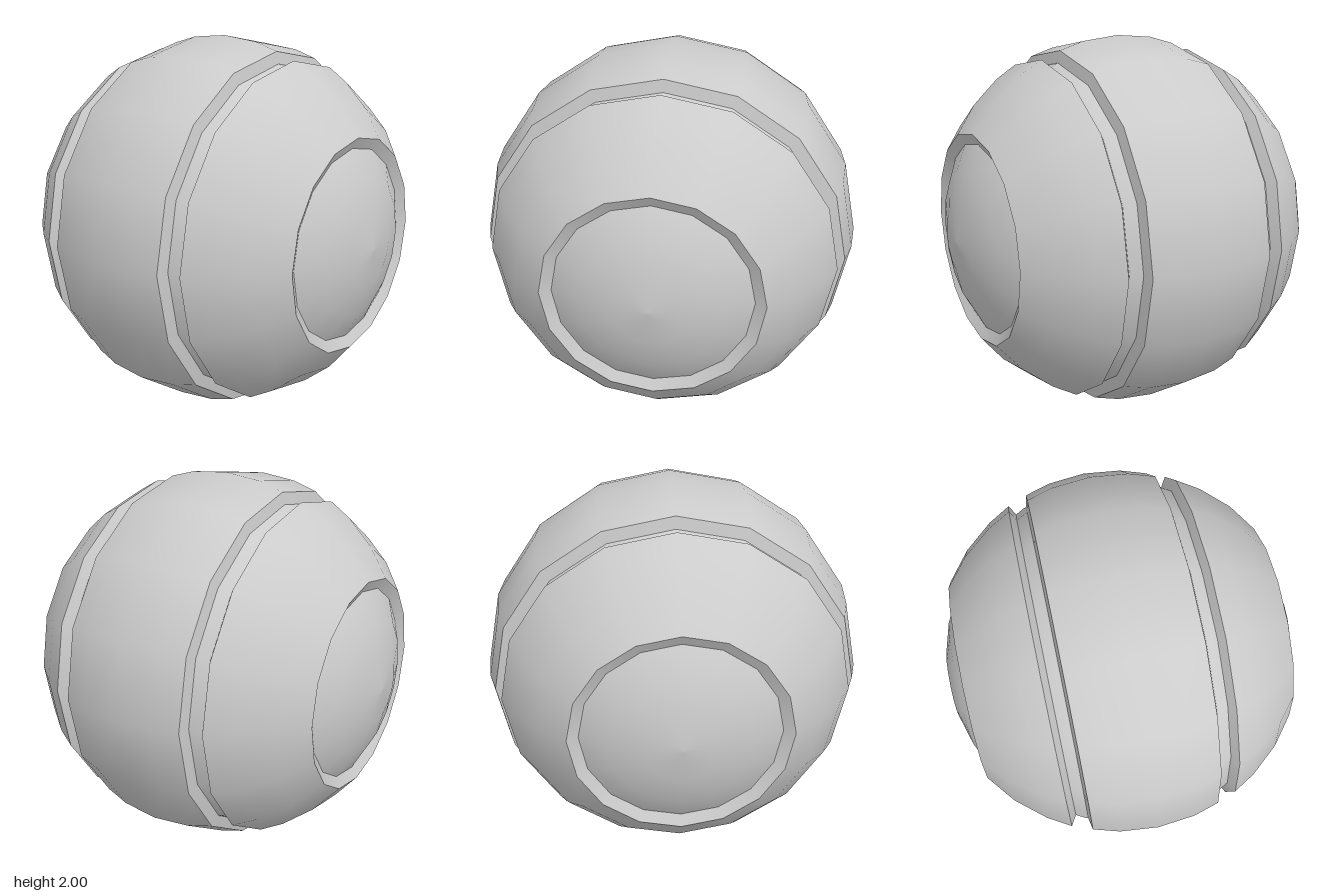
import * as THREE from 'three';
import { mergeGeometries } from 'three/addons/utils/BufferGeometryUtils.js';

const SIDES = 16;
const material = new THREE.MeshStandardMaterial({ color: 0xcccccc });

// Turn a profile of [x, radius] points, ordered by rising x, around the x axis.
function turn(profile) {
  const points = profile.map(([x, r]) => new THREE.Vector2(r, x));
  return new THREE.LatheGeometry(points, SIDES).rotateZ(-Math.PI / 2);
}

// Points on a circle of the given radius, between two angles from the +x pole.
function arc(radius, from, to, steps) {
  return Array.from({ length: steps + 1 }, (_, i) => {
    const a = from + ((to - from) * i) / steps;
    return [radius * Math.cos(a), Math.max(0, radius * Math.sin(a))];
  });
}

// Sections are turned separately so that the edges between them stay sharp.
function addPart(group, name, sections) {
  const mesh = new THREE.Mesh(mergeGeometries(sections.map(turn)), material);
  mesh.name = name;
  group.add(mesh);
}

const mirror = (profile) => profile.map(([x, r]) => [-x, r]).reverse();

export function createModel() {
  const model = new THREE.Group();
  model.name = 'bandedSphere';
  const ball = new THREE.Group();
  ball.name = 'ball';
  ball.position.y = 1;
  model.add(ball);

  // Inner ball, seen in the grooves and at both ends
  addPart(ball, 'innerBall', [arc(0.945, Math.PI, 0, 16)]);

  // Raised band around the middle with its two walls
  const bandWall = [[0.336, 0.94], [0.352, 0.86]];
  addPart(ball, 'middleBand', [
    mirror(bandWall),
    [[-0.336, 0.94], [-0.2, 0.98], [0, 1], [0.2, 0.98], [0.336, 0.94]],
    bandWall,
  ]);

  // Side shells: groove wall, rounded outside, rim around the end opening
  const side = [
    [[0.395, 0.825], [0.44, 0.9]],
    [[0.44, 0.9], [0.56, 0.83], [0.71, 0.705], [0.83, 0.556]],
    [[0.83, 0.556], [0.79, 0.482]],
  ];
  addPart(ball, 'leftShell', side);
  addPart(ball, 'rightShell', side.map(mirror));

  return model;
}
